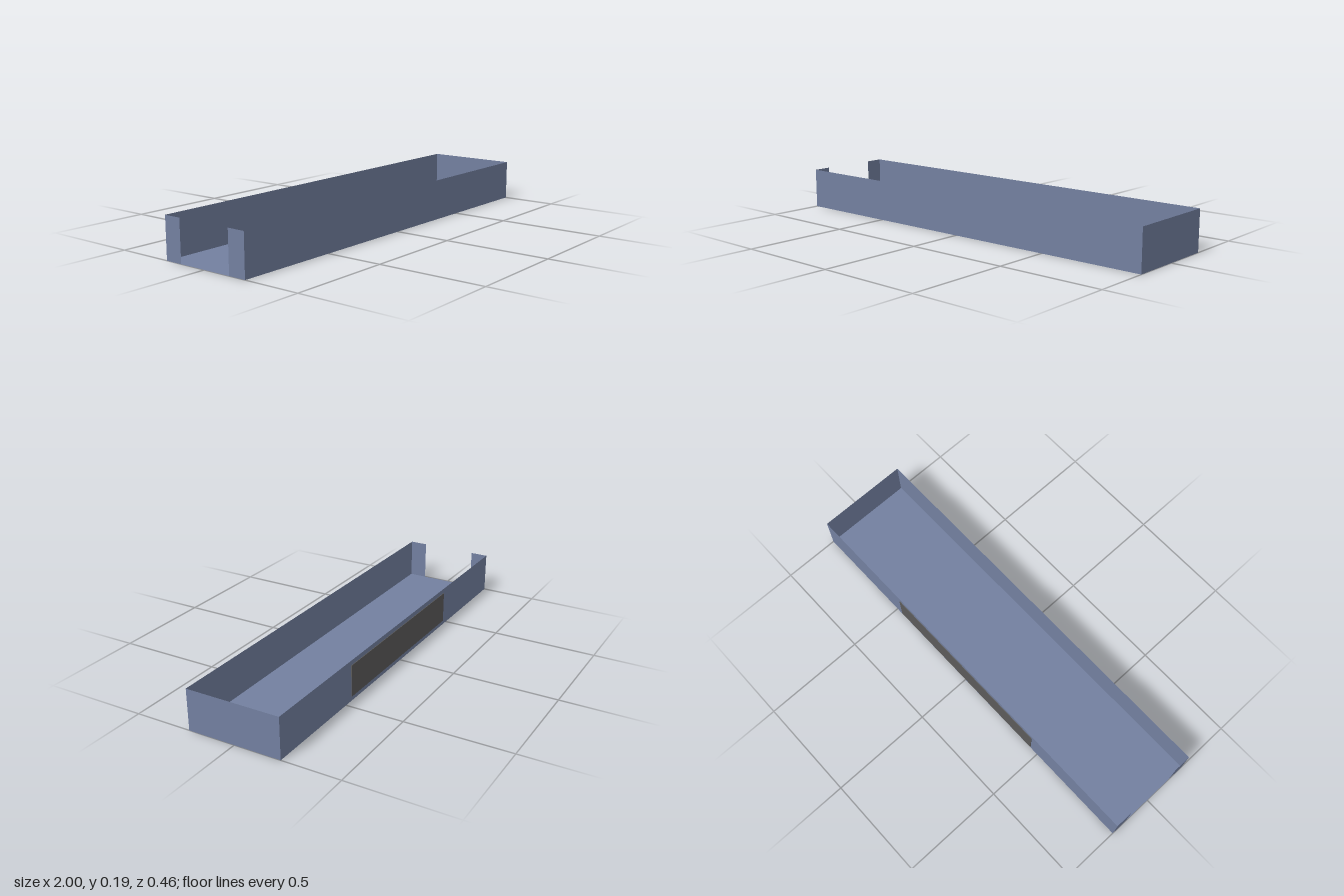
import * as THREE from 'three';

export function createModel() {
  const model = new THREE.Group();
  model.name = 'openTray';

  const sheet = new THREE.MeshStandardMaterial({ color: 0x7380a0, side: THREE.DoubleSide });
  sheet.name = 'blueGreySheet';
  const dark = new THREE.MeshStandardMaterial({ color: 0x5c5b5a });
  dark.name = 'darkGrey';

  const height = 0.195, front = 0.228, back = -0.224, lip = 0.087;
  const depth = front - back, midZ = (front + back) / 2;

  // Flat sheet panel, turned to face outward
  function panel(name, w, h, position, rotX = 0, rotY = 0) {
    const mesh = new THREE.Mesh(new THREE.PlaneGeometry(w, h), sheet);
    mesh.name = name;
    mesh.position.set(...position);
    mesh.rotation.set(rotX, rotY, 0);
    model.add(mesh);
  }

  // Floor and long walls
  panel('floor', 2, depth, [0, 0, midZ], Math.PI / 2);
  panel('frontWall', 2, height, [0, height / 2, front]);
  panel('backWall', 2, height, [0, height / 2, back], 0, Math.PI);

  // Closed end, and open end with two narrow return lips
  panel('closedEnd', depth, height, [1, height / 2, midZ], 0, Math.PI / 2);
  panel('frontLip', lip, height, [-1, height / 2, front - lip / 2], 0, -Math.PI / 2);
  panel('backLip', lip, height, [-1, height / 2, back + lip / 2], 0, -Math.PI / 2);

  // Thin plate on the back wall
  const plate = new THREE.Mesh(new THREE.BoxGeometry(0.914, 0.151, 0.003), dark);
  plate.name = 'backPlate';
  plate.position.set(0, 0.098, -0.2265);
  model.add(plate);

  return model;
}
